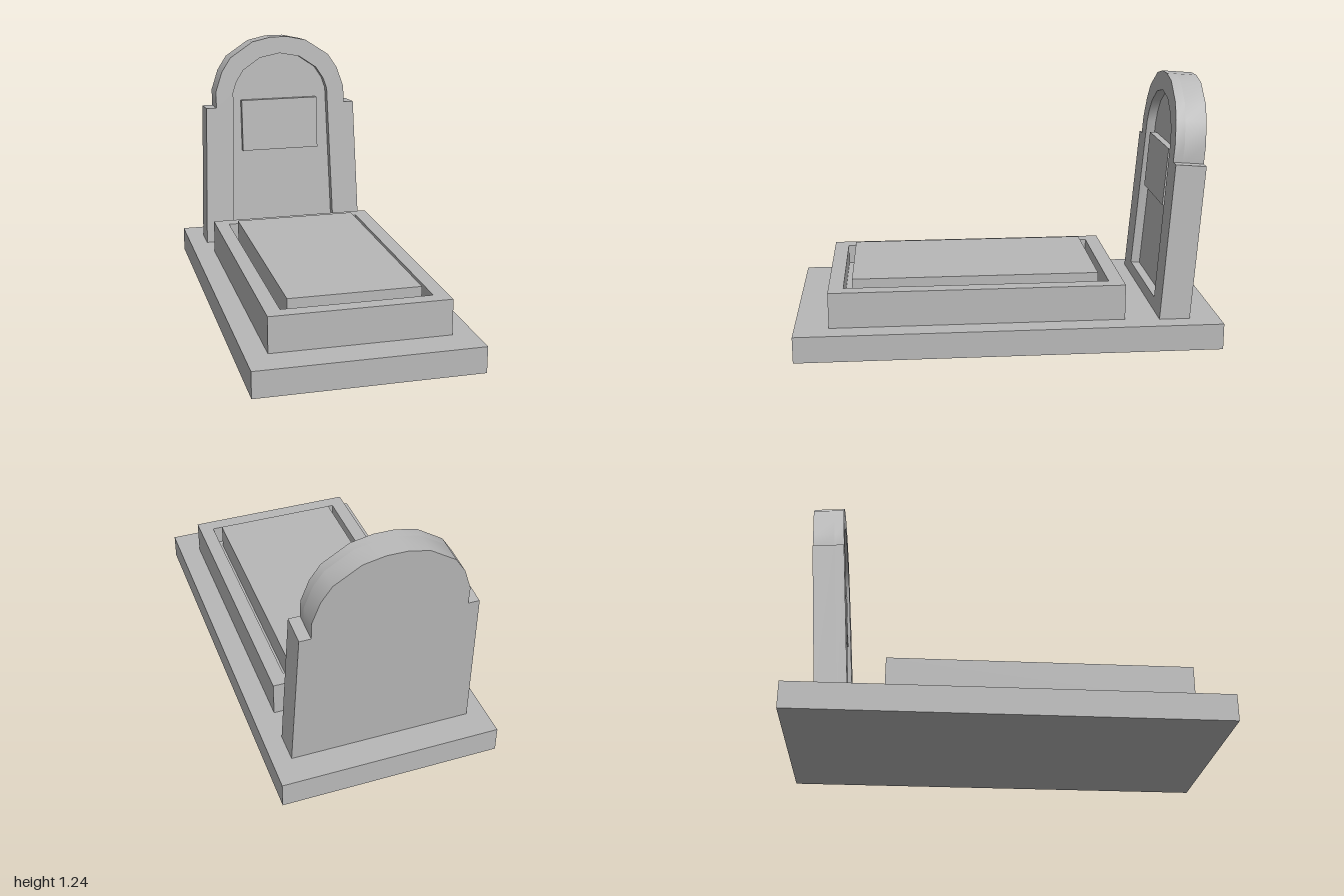
import * as THREE from 'three';
import { toCreasedNormals } from 'three/addons/utils/BufferGeometryUtils.js';

export function createModel() {
  const stone = new THREE.MeshStandardMaterial({ color: 0xb8b8b8 });
  stone.name = 'grey stone';
  const model = new THREE.Group();
  model.name = 'grave';

  const add = (parent, name, geometry) => {
    const mesh = new THREE.Mesh(geometry, stone);
    mesh.name = name;
    parent.add(mesh);
    return mesh;
  };
  // Box given by its extents on each axis
  const box = (x0, x1, y0, y1, z0, z1) =>
    new THREE.BoxGeometry(x1 - x0, y1 - y0, z1 - z0)
      .translate((x0 + x1) / 2, (y0 + y1) / 2, (z0 + z1) / 2);
  // Closed symmetric outline from its right half, bottom to top
  const mirrored = (half) => {
    const left = half.filter(([x]) => x > 0).reverse().map(([x, y]) => [-x, y]);
    return [...half, ...left].map(([x, y]) => new THREE.Vector2(x, y));
  };
  const rect = (w, a, b) => mirrored([[w, a], [w, b]]);
  const extrude = (outline, hole, depth) => {
    const shape = new THREE.Shape(outline);
    if (hole) shape.holes.push(new THREE.Path(hole));
    return new THREE.ExtrudeGeometry(shape, { depth, bevelEnabled: false });
  };

  // Ground plinth
  add(model, 'plinth', box(-0.525, 0.525, 0, 0.125, -1, 1));

  // Raised kerb, its sunken floor and the cover slab
  const kerb = extrude(rect(0.42, -0.84, 0.55), rect(0.35, -0.77, 0.48), 0.17);
  add(model, 'kerb', kerb.rotateX(-Math.PI / 2).translate(0, 0.125, 0));
  add(model, 'kerbFloor', box(-0.35, 0.35, 0.125, 0.2, -0.48, 0.77));
  add(model, 'coverSlab', box(-0.31, 0.31, 0.2, 0.325, -0.435, 0.73));

  // Headstone, leaning back about its front bottom edge
  const headstone = new THREE.Group();
  headstone.name = 'headstone';
  headstone.position.set(0, 0.125, -0.712);
  headstone.rotation.x = -0.0766;
  model.add(headstone);

  const outline = mirrored([
    [0.435, -0.01], [0.411, 0.744], [0.357, 0.744], [0.357, 0.831], [0.321, 0.937],
    [0.272, 1.012], [0.148, 1.094], [0.047, 1.116],
  ]);
  const recess = mirrored([
    [0.285, 0.06], [0.262, 0.824], [0.243, 0.881], [0.203, 0.943], [0.111, 1.006], [0, 1.028],
  ]);
  const front = extrude(outline, recess, 0.045).translate(0, 0, -0.045);
  add(headstone, 'headstoneFrame', toCreasedNormals(front, 0.7));
  const back = extrude(outline, null, 0.1).translate(0, 0, -0.145);
  add(headstone, 'headstoneBack', toCreasedNormals(back, 0.7));

  // Blank plaque inside the recess
  add(headstone, 'plaque', box(-0.215, 0.205, 0.499, 0.777, -0.047, -0.01));

  return model;
}
